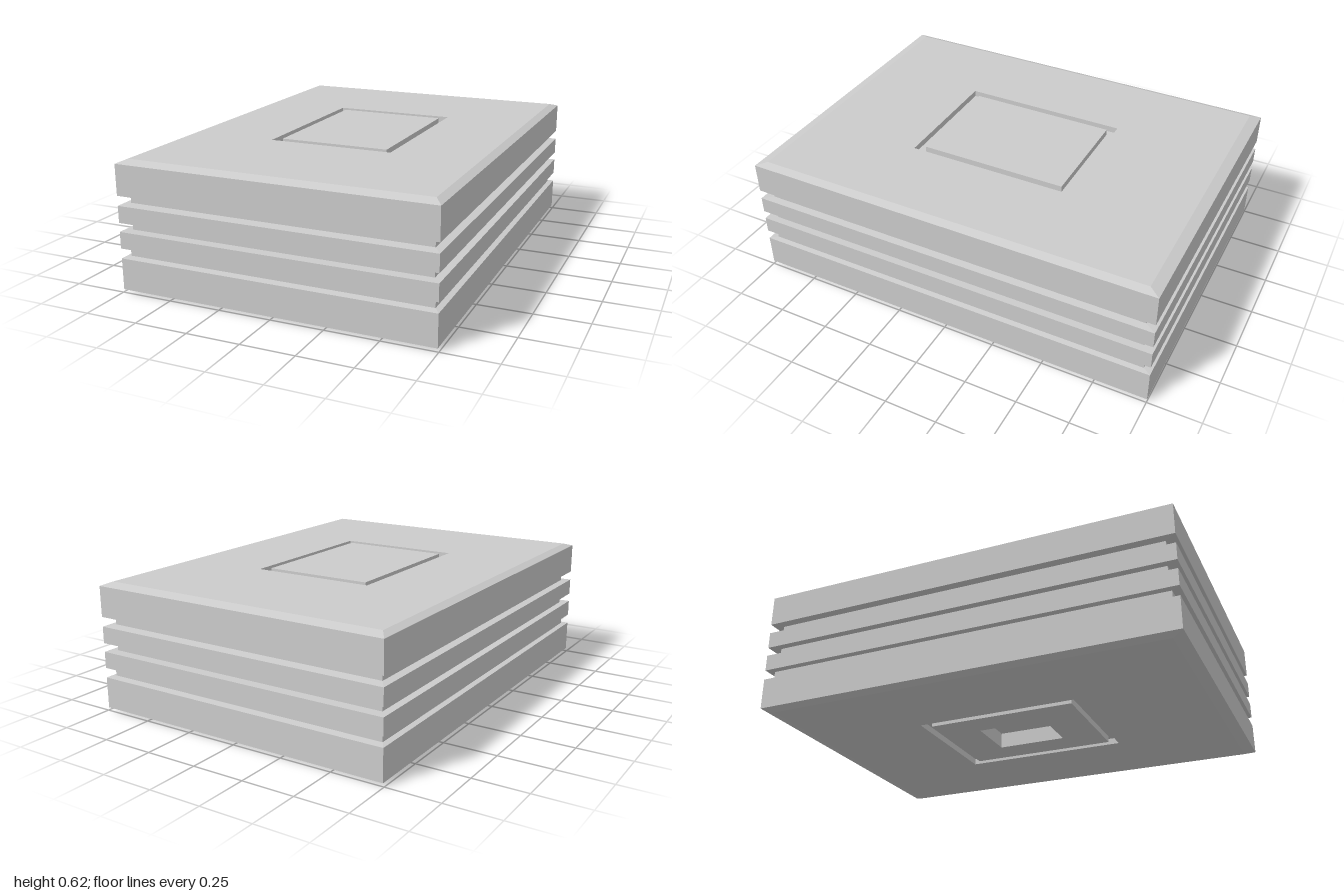
import * as THREE from 'three';

// Corners of a rectangular section [halfX, halfZ, y]
const corners = ([hx, hz, y]) => [[1, 1], [1, -1], [-1, -1], [-1, 1]]
  .map(([sx, sz]) => new THREE.Vector3(sx * hx, y, sz * hz));

// Flat-sided skin through rectangular sections; a zero-size section closes an end
function rectLoft(name, sections, material) {
  const points = [];
  const addTriangle = (a, b, c) => {
    if (!a.equals(b) && !b.equals(c) && !c.equals(a)) points.push(a, b, c);
  };
  for (let s = 0; s < sections.length - 1; s++) {
    const a = corners(sections[s]);
    const b = corners(sections[s + 1]);
    for (let i = 0; i < 4; i++) {
      const j = (i + 1) % 4;
      addTriangle(a[i], b[i], b[j]);
      addTriangle(a[i], b[j], a[j]);
    }
  }
  const geometry = new THREE.BufferGeometry().setFromPoints(points);
  geometry.computeVertexNormals();
  const mesh = new THREE.Mesh(geometry, material);
  mesh.name = name;
  return mesh;
}

export function createModel() {
  const group = new THREE.Group();
  group.name = 'ribbedBlock';
  const material = new THREE.MeshStandardMaterial({ color: 0xcccccc, flatShading: true });
  const X = 0.745, Z = 1;         // outer half width and half depth
  const cx = 0.71, cz = 0.95;     // chamfered faces and recessed core
  const px = 0.265, pz = 0.358;   // panel inside the groove
  const gx = 0.3, gz = 0.4;       // outer edge of the groove
  const top = 0.615, groove = 0.03;

  const parts = {
    // Flush panel framed by a narrow groove
    topPanel: [[0, 0, top], [px, pz, top], [px, pz, top - groove],
      [gx, gz, top - groove], [gx, gz, top]],
    // Chamfered top slab with a slightly sloping underside
    topSlab: [[gx, gz, top], [cx, cz, top], [X, Z, 0.6], [X, Z, 0.455], [cx, cz, 0.45]],
    upperNeck: [[cx, cz, 0.45], [cx, cz, 0.413]],
    upperRib: [[cx, cz, 0.413], [X, Z, 0.409], [X, Z, 0.33], [cx, cz, 0.33]],
    middleNeck: [[cx, cz, 0.33], [cx, cz, 0.288]],
    lowerRib: [[cx, cz, 0.288], [X, Z, 0.288], [X, Z, 0.21], [0.72, 0.963, 0.206]],
    lowerNeck: [[0.72, 0.963, 0.206], [0.72, 0.963, 0.167]],
    bottomSlab: [[0.72, 0.963, 0.167], [X, Z, 0.163], [X, Z, 0.015], [cx, cz, 0], [gx, gz, 0]],
    // Grooved underside panel with a rectangular socket
    bottomPanel: [[gx, gz, 0], [gx, gz, groove], [px, pz, groove], [px, pz, 0], [0.125, 0.167, 0]],
    bottomSocket: [[0.125, 0.167, 0], [0.125, 0.167, 0.075], [0, 0, 0.075]],
  };
  for (const [name, sections] of Object.entries(parts)) {
    group.add(rectLoft(name, sections, material));
  }
  return group;
}
